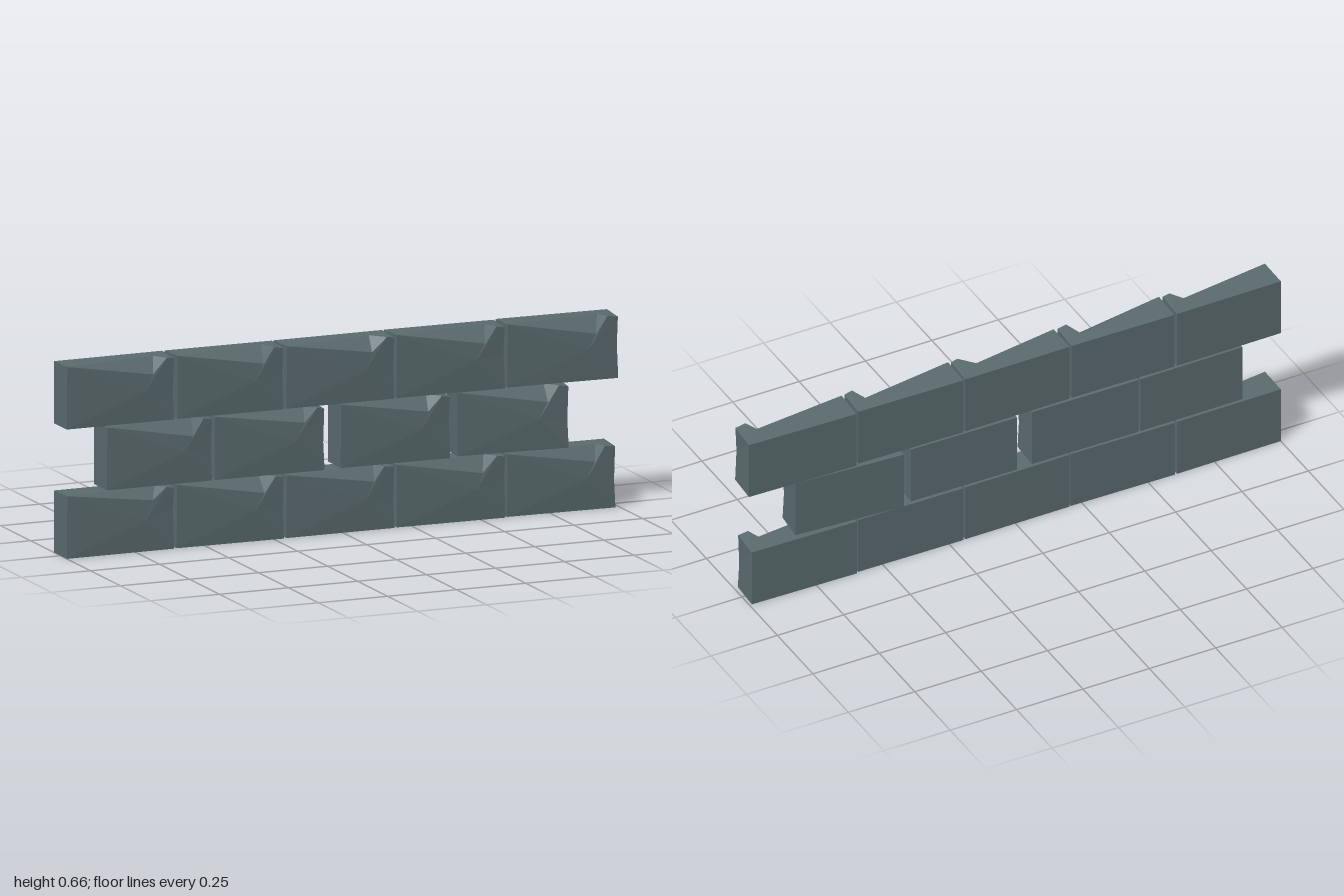
import * as THREE from 'three';

// Small seeded generator for the hand-cut irregularity
function makeRandom(seed) {
  let s = seed;
  return () => (s = (s * 16807) % 2147483647) / 2147483647;
}

// A block with a scoop chipped out of its front top edge near the right end
function brickGeometry(w, h, d, rnd) {
  const j = (a) => (rnd() - 0.5) * 2 * a;
  const l = -w / 2, r = w / 2, b = -d / 2, f = d / 2;
  const at = (u) => l + u * w;
  const lift = 0.004 + rnd() * 0.006;
  const corners = [
    [l, 0, b], [r, 0, b], [r - 0.004, 0, f - 0.004], [l, 0, f - 0.006],   // 0-3 base
    [l, h, b], [r, h, b], [r - 0.006, h - 0.002, f - 0.002], [l, h + lift * 0.6, f - 0.003], // 4-7 top
    [at(0.79 + j(0.02)), h - 0.046 + j(0.008), f],            // 8 notch bottom
    [at(0.9 + j(0.02)), h + lift * 0.5, f],                   // 9 notch right lip
    [at(0.83 + j(0.03)), h + lift * 0.4, 0.002 + j(0.012)],   // 10 notch back
    [at(0.72), h * 0.5, f + 0.003],                           // 11 front swell
    [r - 0.009, h * (0.55 + j(0.15)), f - 0.004],             // 12 worn right edge
  ];
  const faces = [
    0, 1, 2, 0, 2, 3,                         // bottom
    1, 0, 4, 1, 4, 5,                         // back
    0, 3, 7, 0, 7, 4,                         // left
    2, 1, 5, 2, 5, 12, 12, 5, 6,              // right
    4, 7, 10, 4, 10, 5, 5, 10, 9, 5, 9, 6,    // top
    7, 8, 10, 8, 9, 10,                       // scoop
  ];
  const rim = [3, 2, 12, 6, 9, 8, 7];         // front, as a fan around the swell
  rim.forEach((v, i) => faces.push(11, v, rim[(i + 1) % rim.length]));

  const indexed = new THREE.BufferGeometry();
  indexed.setAttribute('position', new THREE.Float32BufferAttribute(corners.flat(), 3));
  indexed.setIndex(faces);
  const geometry = indexed.toNonIndexed();
  geometry.computeVertexNormals();
  return geometry;
}

export function createModel() {
  const wall = new THREE.Group();
  wall.name = 'brickWall';
  const stone = new THREE.MeshStandardMaterial({ color: 0x5a6b6e, flatShading: true });
  stone.name = 'slateStone';
  const rnd = makeRandom(41);

  // Each brick: left x, right x, yaw
  const courses = [
    { name: 'bottomCourse', y: 0, bricks: [
      [-1, -0.607, 0.008], [-0.6, -0.21, -0.012], [-0.204, 0.19, 0.004], [0.197, 0.592, -0.01], [0.598, 0.99, -0.02]] },
    { name: 'middleCourse', y: 0.22, bricks: [
      [-0.855, -0.47, 0.008], [-0.462, -0.063, -0.01], [-0.006, 0.392, -0.012], [0.423, 0.82, -0.06]] },
    { name: 'topCourse', y: 0.44, bricks: [
      [-1, -0.607, 0.008], [-0.598, -0.212, -0.01], [-0.204, 0.19, 0.004], [0.197, 0.59, -0.015], [0.6, 1, -0.025]] },
  ];

  for (const { name, y, bricks } of courses) {
    const course = new THREE.Group();
    course.name = name;
    course.position.y = y;
    bricks.forEach(([x0, x1, yaw], i) => {
      const brick = new THREE.Mesh(brickGeometry(x1 - x0, 0.211, 0.114, rnd), stone);
      brick.name = `brick${i + 1}`;
      brick.position.x = (x0 + x1) / 2;
      brick.rotation.y = yaw;
      course.add(brick);
    });
    wall.add(course);
  }
  return wall;
}
